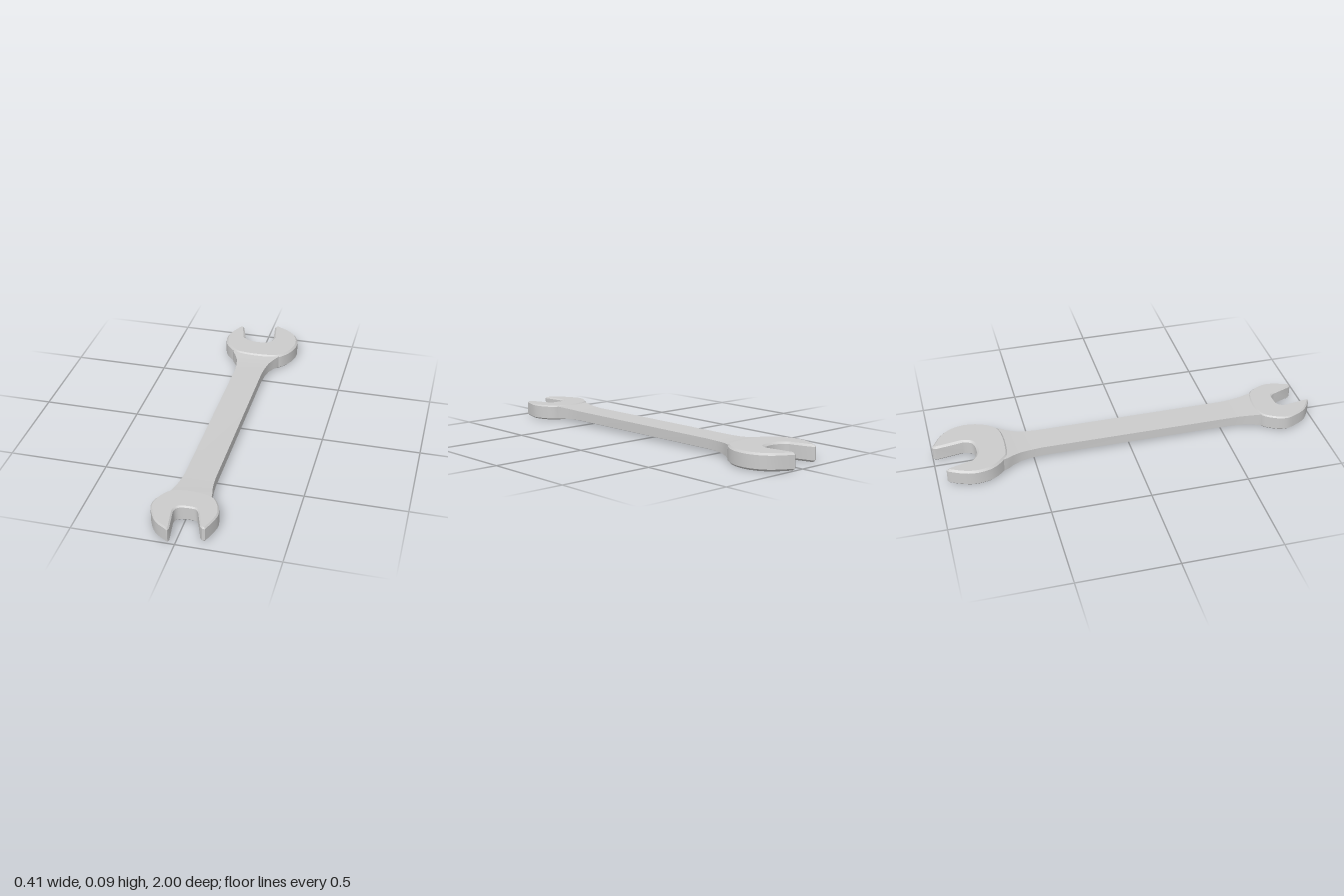
import * as THREE from 'three';
import { toCreasedNormals } from 'three/addons/utils/BufferGeometryUtils.js';

const material = new THREE.MeshStandardMaterial({ color: 0xcccccc });

// Smooth run through [x, z] points
function smooth(points, divisions) {
  return new THREE.SplineCurve(points.map(([x, z]) => new THREE.Vector2(x, z))).getPoints(divisions);
}

// Chamfered open jaw: outer arc and slot, both in plan (x, z)
function makeJaw(name, outer, slot, bottom, top, bevel) {
  const outline = [...smooth(outer, 36), ...smooth(slot[0], 1), ...smooth(slot[1], 14), ...smooth(slot[2], 1)];
  const geometry = new THREE.ExtrudeGeometry(new THREE.Shape(outline), {
    depth: top - bottom - 2 * bevel, bevelEnabled: true, bevelThickness: bevel,
    bevelSize: bevel, bevelOffset: -bevel, bevelSegments: 1,
  });
  geometry.rotateX(Math.PI / 2).translate(0, top - bevel, 0);
  const mesh = new THREE.Mesh(toCreasedNormals(geometry, 0.6), material);
  mesh.name = name;
  return mesh;
}

// Flat shank, flared and thickened toward both heads
function makeShank() {
  // z, half width, half thickness
  const stations = [
    [-0.665, 0.137, 0.034], [-0.64, 0.127, 0.033], [-0.615, 0.111, 0.03], [-0.57, 0.091, 0.027],
    [-0.52, 0.082, 0.025], [-0.46, 0.076, 0.025], [0.55, 0.077, 0.025], [0.6, 0.08, 0.027],
    [0.65, 0.087, 0.029], [0.7, 0.098, 0.033], [0.725, 0.1, 0.034],
  ];
  const n = stations.length - 1;
  const geometry = new THREE.BoxGeometry(2, 2, 1, 1, 1, n);
  const p = geometry.attributes.position;
  for (let i = 0; i < p.count; i++) {
    const [z, w, h] = stations[Math.round((p.getZ(i) + 0.5) * n)];
    p.setXYZ(i, p.getX(i) * w, 0.045 + p.getY(i) * h, z);
  }
  const mesh = new THREE.Mesh(toCreasedNormals(geometry, 0.6), material);
  mesh.name = 'shank';
  return mesh;
}

export function createModel() {
  const group = new THREE.Group();
  group.name = 'openEndWrench';

  const largeJaw = makeJaw('largeJaw',
    [[-0.158, -0.945], [-0.19, -0.88], [-0.205, -0.81], [-0.186, -0.725], [-0.125, -0.655], [-0.085, -0.637],
      [0, -0.631], [0.085, -0.636], [0.14, -0.657], [0.187, -0.725], [0.205, -0.81], [0.187, -0.89],
      [0.14, -0.95], [0.055, -1]],
    [[[0.045, -0.995], [0.04, -0.98]],
      [[0.06, -0.845], [0.046, -0.803], [0.01, -0.787], [-0.05, -0.787], [-0.098, -0.815], [-0.106, -0.84]],
      [[-0.136, -0.94], [-0.146, -0.952]]],
    0, 0.085, 0.01);

  const smallJaw = makeJaw('smallJaw',
    [[0.13, 0.952], [0.152, 0.89], [0.163, 0.83], [0.145, 0.765], [0.1, 0.711], [0, 0.693],
      [-0.095, 0.708], [-0.14, 0.762], [-0.159, 0.82], [-0.15, 0.87], [-0.107, 0.948], [-0.042, 0.995]],
    [[[-0.033, 1], [-0.028, 0.985]],
      [[-0.045, 0.87], [-0.043, 0.845], [-0.024, 0.826], [0.02, 0.82], [0.055, 0.824], [0.072, 0.85]],
      [[0.105, 0.94], [0.117, 0.952]]],
    0.003, 0.083, 0.007);

  group.add(largeJaw, smallJaw, makeShank());
  return group;
}
